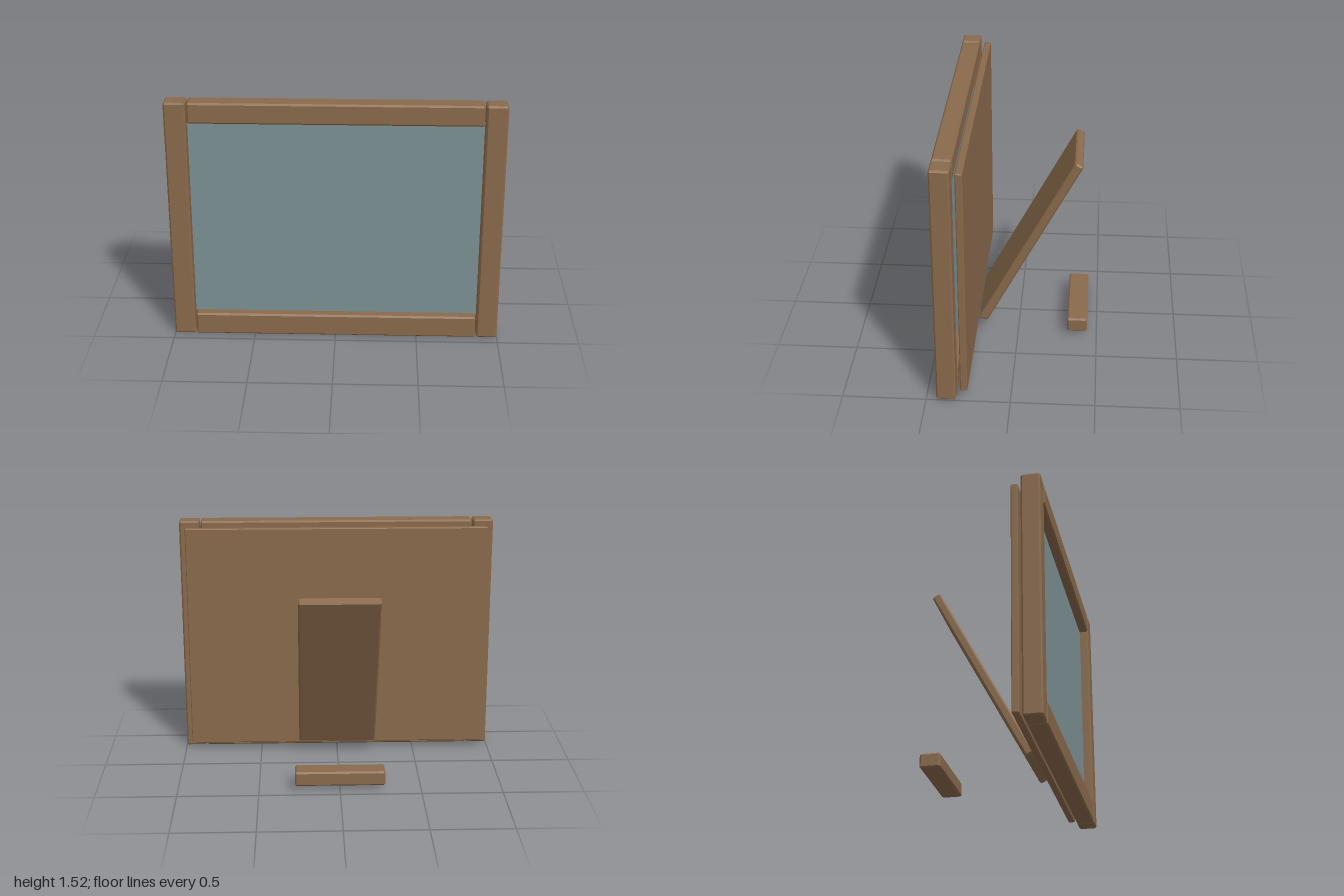
import * as THREE from 'three';
import { ConvexGeometry } from 'three/addons/geometries/ConvexGeometry.js';

// Box with every edge chamfered by c
function chamferBox(w, h, d, c) {
  const pts = [];
  for (const x of [-1, 1]) for (const y of [-1, 1]) for (const z of [-1, 1]) {
    const [X, Y, Z] = [x * w / 2, y * h / 2, z * d / 2];
    pts.push(
      new THREE.Vector3(X, Y - y * c, Z - z * c),
      new THREE.Vector3(X - x * c, Y, Z - z * c),
      new THREE.Vector3(X - x * c, Y - y * c, Z));
  }
  return new ConvexGeometry(pts);
}

export function createModel() {
  const group = new THREE.Group();
  const wood = new THREE.MeshStandardMaterial({ color: 0x8a6a4c });
  wood.name = 'wood';
  const glass = new THREE.MeshStandardMaterial({ color: 0x7c9195 });
  glass.name = 'glass';

  const add = (name, geometry, material, x, y, z) => {
    const mesh = new THREE.Mesh(geometry, material);
    mesh.name = name;
    mesh.position.set(x, y, z);
    group.add(mesh);
    return mesh;
  };

  // Frame: two full-height stiles and two rails between them
  const frameZ = 0.382, frameDepth = 0.116;
  for (const [side, name] of [[1, 'leftStile'], [-1, 'rightStile']])
    add(name, chamferBox(0.127, 1.525, frameDepth, 0.01), wood, side * 0.9365, 0.7625, frameZ);
  for (const [y, name] of [[0.07, 'bottomRail'], [1.4615, 'topRail']])
    add(name, chamferBox(1.728, y < 1 ? 0.14 : 0.127, frameDepth, 0.01), wood, 0, y, frameZ);

  // Pane set into the frame opening
  add('pane', new THREE.BoxGeometry(1.74, 1.27, 0.015), glass, 0, 0.77, 0.375);

  // Backing board
  add('backBoard', chamferBox(1.92, 1.45, 0.042, 0.005), wood, 0, 0.765, 0.279);

  // Leaning support and its separate foot bar
  const strut = add('strut', chamferBox(0.5, 1.268, 0.056, 0.01), wood, 0, 0.638, -0.072);
  strut.rotation.x = -0.488;
  add('footBar', chamferBox(0.556, 0.092, 0.128, 0.01), wood, 0, 0.075, -0.376);

  return group;
}
